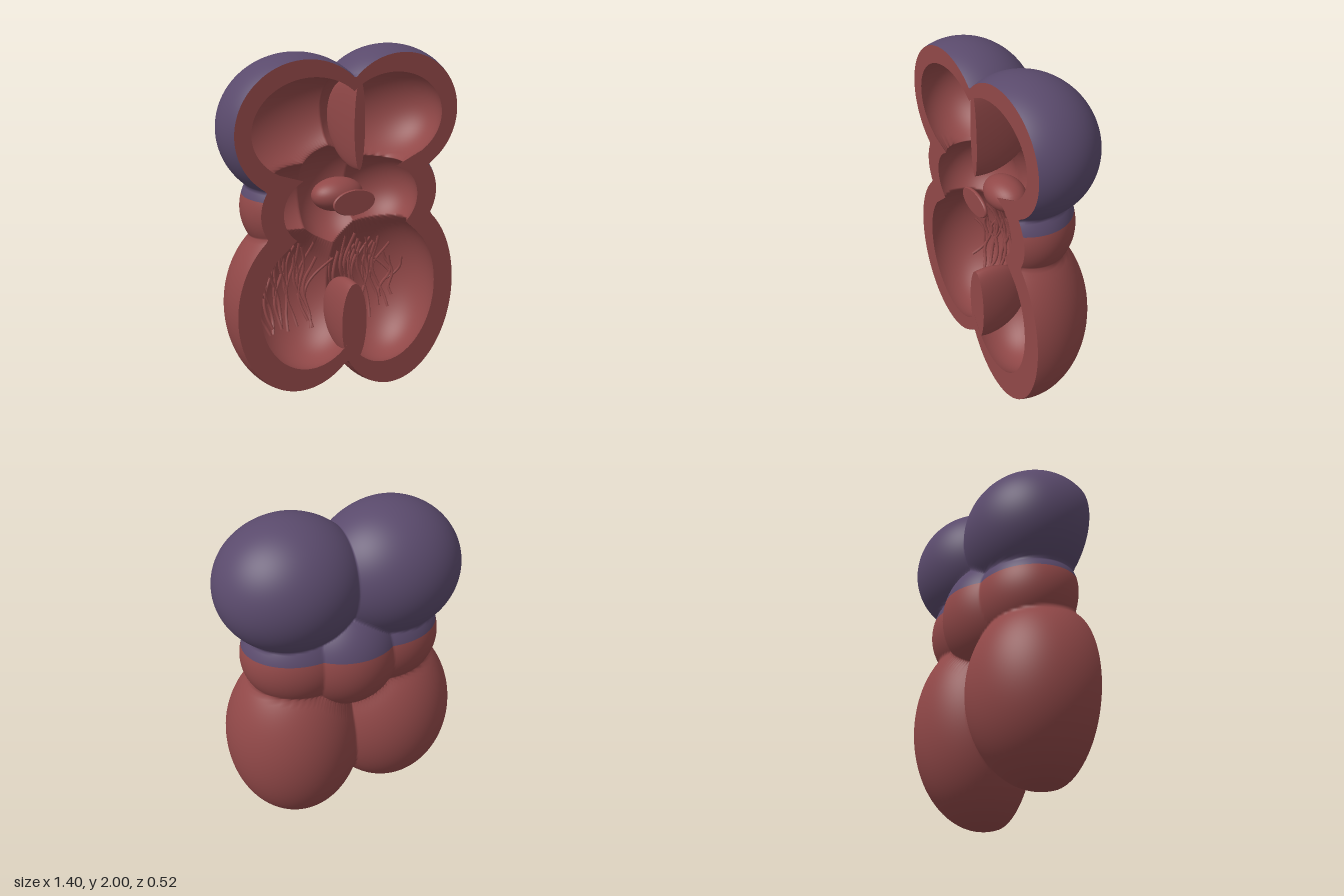
import * as THREE from 'three';

const CUT = 0.26;                                   // plane of the flat section
const HUB = new THREE.Vector3(0, 1.26, CUT);        // all walls are seen from here
const ROWS = 140, COLS = 160;

// ellipsoids: [x, y, z, rx, ry, rz]
const OUTER = [
  [0.29, 1.63, 0.11, 0.41, 0.37, 0.37],             // upper chambers
  [-0.28, 1.605, 0.13, 0.42, 0.383, 0.375],
  [0.29, 0.58, 0.16, 0.41, 0.578, 0.405],           // lower chambers
  [-0.29, 0.625, 0.16, 0.413, 0.52, 0.4],
  [0, 1.17, 0.07, 0.32, 0.34, 0.31],                // middle ring
  [0.25, 1.18, 0.12, 0.335, 0.3, 0.29],
  [-0.25, 1.18, 0.12, 0.335, 0.3, 0.29],
];
const INNER = [
  [0.24, 1.62, 0.11, 0.38, 0.295, 0.28],
  [-0.25, 1.61, 0.12, 0.385, 0.305, 0.28],
  [0.24, 0.60, 0.16, 0.335, 0.455, 0.3],
  [-0.24, 0.64, 0.16, 0.338, 0.42, 0.3],
  [0, 1.17, 0.08, 0.24, 0.3, 0.25],
  [0.2, 1.17, 0.12, 0.265, 0.24, 0.24],
  [-0.2, 1.17, 0.12, 0.265, 0.24, 0.24],
];

// distance from the hub to the farthest wall of a union of ellipsoids
function reach(dir, blobs) {
  let best = 0;
  for (const [x, y, z, rx, ry, rz] of blobs) {
    const p = new THREE.Vector3((HUB.x - x) / rx, (HUB.y - y) / ry, (HUB.z - z) / rz);
    const d = new THREE.Vector3(dir.x / rx, dir.y / ry, dir.z / rz);
    const a = d.dot(d), b = p.dot(d), disc = b * b - a * (p.dot(p) - 1);
    if (disc > 0) best = Math.max(best, (-b + Math.sqrt(disc)) / a);
  }
  return best;
}

// half shell around the hub; rows run from top to bottom
function wallPoints(radius) {
  const pts = [];
  for (let i = 0; i <= ROWS; i++) {
    const t = Math.PI * i / ROWS;
    for (let j = 0; j <= COLS; j++) {
      const f = Math.PI * j / COLS;
      const dir = new THREE.Vector3(Math.sin(t) * Math.cos(f), Math.cos(t), -Math.sin(t) * Math.sin(f));
      pts.push(dir.clone().multiplyScalar(radius(dir)).add(HUB));
    }
  }
  return pts;
}

function wallGeometry(pts, inward) {
  const index = [];
  for (let i = 0; i < ROWS; i++) {
    for (let j = 0; j < COLS; j++) {
      const a = i * (COLS + 1) + j, b = a + COLS + 1;
      if (inward) index.push(a, a + 1, b, b, a + 1, b + 1);
      else index.push(a, b, a + 1, b, b + 1, a + 1);
    }
  }
  const g = new THREE.BufferGeometry().setFromPoints(pts);
  g.setIndex(index);
  g.computeVertexNormals();
  return g;
}

// flat ring joining both walls on the section plane
function rimGeometry(outer, inner) {
  const pts = [];
  for (const j of [0, COLS]) {
    for (let i = 0; i < ROWS; i++) {
      const a = i * (COLS + 1) + j, b = a + COLS + 1;
      if (j === 0) pts.push(inner[a], inner[b], outer[a], inner[b], outer[b], outer[a]);
      else pts.push(inner[a], outer[a], inner[b], inner[b], outer[a], outer[b]);
    }
  }
  const g = new THREE.BufferGeometry().setFromPoints(pts);
  g.computeVertexNormals();
  return g;
}

// ellipsoid sliced flat by the section plane
function slicedEllipsoid(name, [x, y, z, rx, ry, rz], material) {
  const group = new THREE.Group();
  group.name = name;
  const c = Math.min(1, (CUT - 0.001 - z) / rz), t = Math.acos(c);
  const body = new THREE.SphereGeometry(1, 40, 24, 0, Math.PI * 2, t, Math.PI - t).rotateX(Math.PI / 2);
  const cap = new THREE.CircleGeometry(Math.sin(t), 40).translate(0, 0, c);
  for (const [part, g] of [['Body', body], ['Cap', cap]]) {
    const mesh = new THREE.Mesh(g.scale(rx, ry, rz).translate(x, y, z), material);
    mesh.name = name + part;
    group.add(mesh);
  }
  return group;
}

function seeded(seed) {
  return () => (seed = (seed * 16807) % 2147483647) / 2147483647;
}

export function createModel() {
  const model = new THREE.Group();
  model.name = 'heartSection';
  const red = new THREE.MeshStandardMaterial({ color: 0x914848 });
  red.name = 'muscleRed';
  const purple = new THREE.MeshStandardMaterial({ color: 0x5a4a6c });
  purple.name = 'upperPurple';
  const add = (name, geometry, material, parent = model) => {
    const mesh = new THREE.Mesh(geometry, material);
    mesh.name = name;
    parent.add(mesh);
  };

  // outer wall, purple above the hub and red below
  const outer = wallPoints(d => reach(d, OUTER));
  const outerGeo = wallGeometry(outer, false);
  const half = outerGeo.index.count / 2;
  outerGeo.addGroup(0, half, 0);
  outerGeo.addGroup(half, half, 1);
  add('outerWall', outerGeo, [purple, red]);

  // hollow chambers and cut rim
  const inner = wallPoints(d => Math.min(reach(d, INNER), reach(d, OUTER) - 0.04));
  add('chamberWall', wallGeometry(inner, true), red);
  add('cutRim', rimGeometry(outer, inner), red);

  // dividing walls and central valve
  model.add(slicedEllipsoid('upperSeptum', [0.035, 1.6, 0.2, 0.033, 0.245, 0.3], red));
  model.add(slicedEllipsoid('lowerSeptum', [0.015, 0.46, 0.2, 0.082, 0.25, 0.28], red));
  model.add(slicedEllipsoid('valveDisc', [0.01, 1.18, 0.25, 0.13, 0.072, 0.03], red));
  model.add(slicedEllipsoid('valveBulb', [0.01, 1.18, 0.06, 0.155, 0.095, 0.11], red));

  // branching muscle strands lying on the lower chamber walls
  const strands = new THREE.Group();
  strands.name = 'muscleStrands';
  model.add(strands);
  const rand = seeded(77);
  for (const side of [1, -1]) {
    const [cx, cy, cz, rx, ry, rz] = INNER[side > 0 ? 2 : 3];
    const onWall = (x, y) => {
      const q = 1 - ((x - cx) / rx) ** 2 - ((y - cy) / ry) ** 2;
      return new THREE.Vector3(x, y, cz - rz * Math.sqrt(Math.max(q, 0.02)) + 0.012);
    };
    for (let n = 0; n < 11; n++) {
      const x0 = 0.1 + 0.036 * n + (rand() - 0.5) * 0.03;
      const low = 0.3 + 0.1 * rand() + (n > 8 ? 0.06 : 0);
      const top = 0.76 + 0.12 * rand() - (n > 8 ? 0.08 : 0);
      const lean = (rand() - 0.5) * 0.12, phase = rand() * 6;
      const path = (bend, from) => {
        const pts = [];
        for (let k = 0; k <= 6; k++) {
          const u = from + (1 - from) * k / 6;
          const x = x0 + lean * (u - 0.5) + 0.02 * Math.sin(phase + u * 7) + bend * (u - from);
          pts.push(onWall(side * Math.min(x, 0.5), low + (top - low) * u));
        }
        return new THREE.CatmullRomCurve3(pts);
      };
      add('strand', new THREE.TubeGeometry(path(0, 0), 20, 0.01, 6), red, strands);
      add('strandBranch', new THREE.TubeGeometry(path(n % 2 ? 0.13 : -0.13, 0.4), 14, 0.008, 6), red, strands);
    }
  }
  return model;
}
